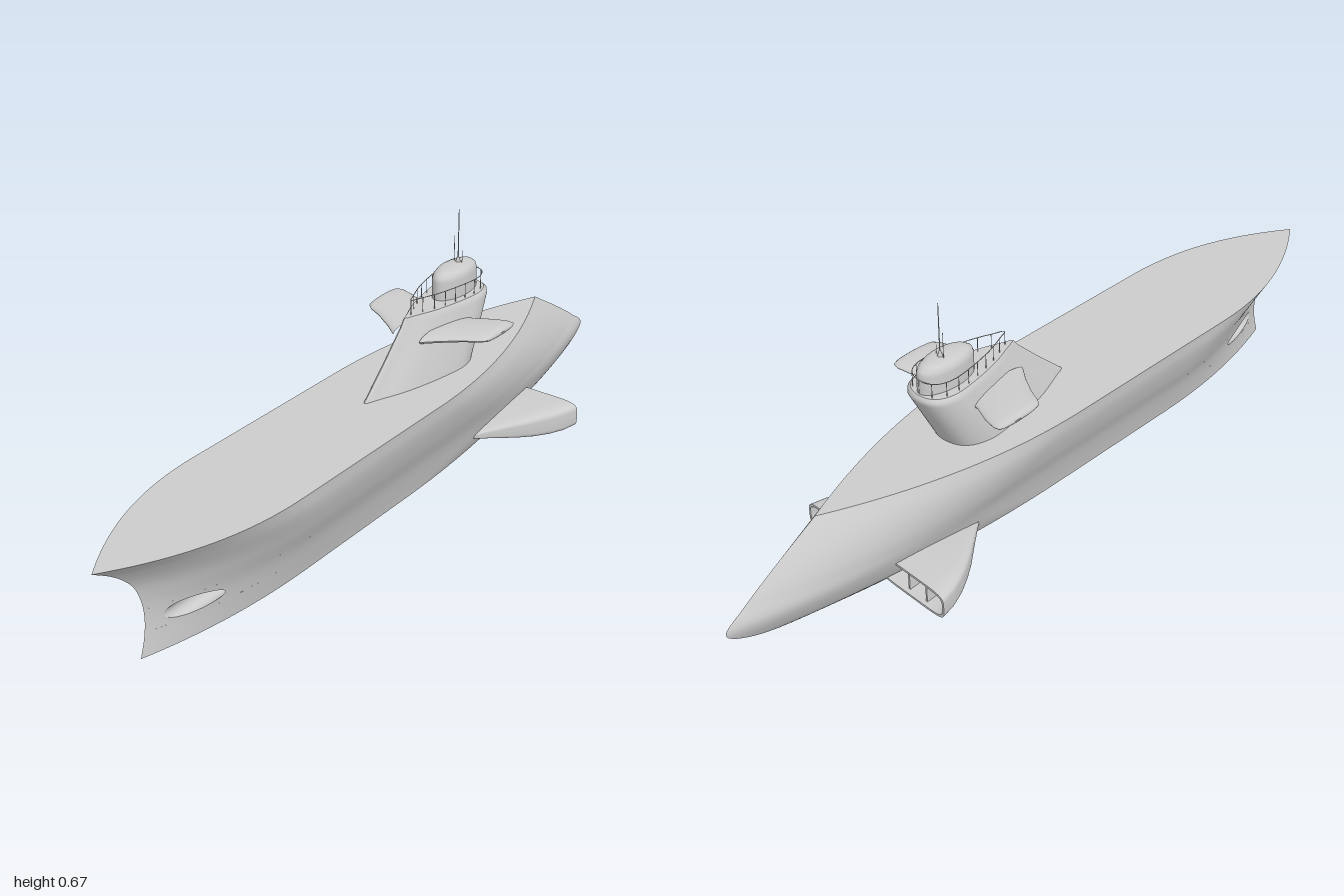
import * as THREE from 'three';
import { ParametricGeometry } from 'three/addons/geometries/ParametricGeometry.js';

const solid = new THREE.MeshStandardMaterial({ color: 0xcccccc });
const open = new THREE.MeshStandardMaterial({ color: 0xcccccc, side: THREE.DoubleSide });
const lerp = THREE.MathUtils.lerp;
const V = (x, y, z) => new THREE.Vector3(x, y, z);

function add(parent, name, geometry, material = solid) {
  const mesh = new THREE.Mesh(geometry, material);
  mesh.name = name;
  parent.add(mesh);
  return mesh;
}

// smooth function through a few (input, value) pairs
function profile(inputs, values) {
  const curve = new THREE.CubicInterpolant(inputs, values, 1, [0]);
  return (t) => curve.evaluate(t)[0];
}

// skin over rings of points, counter-clockwise about the direction of advance
function loft(rings, side = 1) {
  const n = rings[0].length, pos = [], index = [];
  rings.forEach((ring) => {
    const r = side > 0 ? ring : [...ring].reverse();
    r.forEach((p) => pos.push(p.x * side, p.y, p.z));
  });
  for (let i = 0; i < rings.length - 1; i++) {
    for (let j = 0; j < n - 1; j++) {
      const a = i * n + j, d = a + n;
      index.push(a, a + 1, d, a + 1, d + 1, d);
    }
  }
  const g = new THREE.BufferGeometry();
  g.setAttribute('position', new THREE.Float32BufferAttribute(pos, 3));
  g.setIndex(index);
  g.computeVertexNormals();
  return g;
}

// closing rings with a crisp edge
function cap(ring) {
  const c = ring.reduce((s, p) => s.add(p), V(0, 0, 0)).divideScalar(ring.length);
  return [ring, ring.map(() => c)];
}

// ---- hull lines: breadth, stem and stern position by height ----
const TOP = 0.285;
const beam = profile([0, 0.03, 0.1, 0.17, 0.24, TOP], [0.07, 0.078, 0.1, 0.131, 0.154, 0.16]);
const stem = profile([0, 0.05, 0.1, 0.15, 0.2, 0.25, TOP], [0.88, 0.865, 0.86, 0.868, 0.892, 0.945, 1]);
const stern = profile([0, 0.03, 0.06, 0.105, 0.15, 0.2, TOP], [-0.72, -0.86, -0.945, -1, -0.945, -0.87, -0.73]);

// u runs from bow to stern
function hullPoint(u, y) {
  const a = stem(y), b = stern(y), z = lerp(a, b, u);
  const bow = Math.min(1, (a - z) / 0.5), aft = Math.min(1, (z - b) / 0.7);
  const x = beam(y) * (1 - (1 - bow) ** 2.2) * (1 - (1 - aft) ** 2);
  return V(Math.max(0, x), y, z);
}

// station at which the hull reaches breadth x near the bow
function stationAt(x, y) {
  let lo = 0, hi = 0.3;
  for (let i = 0; i < 40; i++) {
    const mid = (lo + hi) / 2;
    if (hullPoint(mid, y).x < x) lo = mid; else hi = mid;
  }
  return lo;
}

function buildHull(group) {
  const hull = new THREE.Group();
  hull.name = 'hull';
  group.add(hull);
  const u0 = 0.008, u1 = 0.17, y0 = 0.06, y1 = 0.12;
  const tube = { x: 0.04, y: 0.09, r: 0.023, back: 0.64 };
  const rim = (a) => {
    const x = tube.x + tube.r * Math.cos(a), y = tube.y + tube.r * Math.sin(a);
    return { u: stationAt(x, y), y };
  };
  for (const s of [1, -1]) {
    const side = s > 0 ? 'left' : 'right';
    const surface = (name, fn, nu, nv, mat) => add(hull, side + name, new ParametricGeometry((u, v, t) => {
      t.copy(fn(s > 0 ? u : 1 - u, v));
      t.x *= s;
    }, nu, nv), mat);
    // plating round the tube opening
    for (const [a, b, c, d, nu, nv] of [
      [0, 1, 0, y0, 72, 8], [0, 1, y1, TOP, 72, 18],
      [0, u0, y0, y1, 2, 8], [u1, 1, y0, y1, 60, 8],
    ]) surface('Plating', (u, v) => hullPoint(lerp(a, b, u), lerp(c, d, v)), nu, nv);
    surface('BowPlating', (u, v) => {
      const a = u * Math.PI * 2, c = Math.cos(a), k = Math.sin(a);
      const m = Math.max(Math.abs(c), Math.abs(k)), inner = rim(a);
      const ou = lerp(u0, u1, 0.5 + c / m / 2), oy = lerp(y0, y1, 0.5 + k / m / 2);
      return hullPoint(lerp(ou, inner.u, v), lerp(oy, inner.y, v));
    }, 32, 6);
    // recessed bow tube
    surface('TubeWall', (u, v) => {
      const r = rim(u * Math.PI * 2), p = hullPoint(r.u, r.y);
      p.z = lerp(p.z, tube.back, v);
      return p;
    }, 32, 2, open);
    add(hull, side + 'TubeDoor', new THREE.CircleGeometry(tube.r, 24)).position.set(s * tube.x, tube.y, tube.back);
  }
  // flat deck and keel
  for (const [name, y, s] of [['deck', TOP, 1], ['keel', 0, -1]]) {
    const g = new ParametricGeometry((u, v, t) => {
      t.copy(hullPoint(u, y));
      t.x *= s * (1 - 2 * v);
    }, 72, 2);
    g.computeVertexNormals();
    add(hull, name, g);
  }
}

// ---- sail: teardrop plan, pointed forward ----
const sailBreadth = profile([0, 0.6, 1.2, 1.8, 2.2, 2.7, Math.PI], [0, 0.2, 0.62, 0.93, 1, 0.68, 0]);
function sailRing(y, half, front, back, n = 64) {
  return Array.from({ length: n + 1 }, (_, i) => {
    const a = (i / n) * Math.PI * 2, port = a <= Math.PI;
    const x = sailBreadth(port ? a : Math.PI * 2 - a) * half * (port ? 1 : -1);
    return V(x, y, lerp(front, back, (1 - Math.cos(a)) / 2));
  });
}

function buildSail(group) {
  const top = sailRing(0.453, 0.061, -0.105, -0.41);
  add(group, 'sail', loft([
    sailRing(0.28, 0.083, 0.07, -0.338), sailRing(0.36, 0.077, -0.015, -0.378),
    sailRing(0.435, 0.07, -0.09, -0.416), sailRing(0.447, 0.067, -0.097, -0.417), top,
  ]));
  add(group, 'sailTop', loft(cap(top)));

  // railing round the sail top
  const path = sailRing(0.492, 0.055, -0.13, -0.405, 48);
  const rail = new THREE.Group();
  rail.name = 'railing';
  group.add(rail);
  const handrail = new THREE.CatmullRomCurve3(path.slice(0, -1), true);
  add(rail, 'handrail', new THREE.TubeGeometry(handrail, 96, 0.0011, 5, true));
  const post = new THREE.CylinderGeometry(0.001, 0.001, 0.042, 5);
  for (let i = 0; i < 18; i++) {
    const p = handrail.getPointAt(i / 18);
    add(rail, 'railPost', post).position.set(p.x, 0.471, p.z);
  }

  // domed cabin
  const dome = [[0.04, 0.45], [0.04, 0.5], [0.038, 0.512], [0.032, 0.521], [0.022, 0.526], [0, 0.527]];
  const cabin = add(group, 'cabin', new THREE.LatheGeometry(dome.map((p) => new THREE.Vector2(...p)), 40));
  cabin.scale.z = 2.08;
  cabin.position.z = -0.322;

  // masts: x, top, radius
  for (const [x, h, r] of [[0, 0.67, 0.0015], [-0.012, 0.595, 0.001], [0.012, 0.56, 0.0007]]) {
    add(group, 'mast', new THREE.CylinderGeometry(r * 0.7, r, h - 0.52, 6)).position.set(x, (h + 0.52) / 2, -0.337);
  }
  add(group, 'mastBase', new THREE.CylinderGeometry(0.0015, 0.007, 0.018, 12)).position.set(0, 0.534, -0.337);
}

// ---- planes on the sail: x, y, leading z, trailing z, thickness ----
function buildSailPlane(group, s) {
  const rings = [
    [0.04, 0.395, -0.11, -0.3, 0.034], [0.08, 0.398, -0.14, -0.3, 0.032],
    [0.13, 0.402, -0.17, -0.322, 0.028], [0.165, 0.404, -0.185, -0.33, 0.025],
    [0.18, 0.405, -0.197, -0.327, 0.02], [0.185, 0.405, -0.22, -0.315, 0.012], [0.186, 0.405, -0.26, -0.28, 0.001],
  ].map(([x, y, lead, trail, thick]) => Array.from({ length: 33 }, (_, i) => {
    const a = (i / 32) * Math.PI * 2;
    return V(x, y - Math.sin(a) * thick / 2, lerp(trail, lead, 0.5 + Math.cos(a) / 2));
  }));
  add(group, s > 0 ? 'leftSailPlane' : 'rightSailPlane', loft(rings, s));
}

// ---- hollow stern planes, open at the back ----
function buildSternPlane(group, s) {
  const ring = (z, tip, half, inset = 0) => Array.from({ length: 49 }, (_, i) => {
    const a = (-i / 48) * Math.PI * 2, c = Math.cos(a), k = Math.sin(a);
    const x = Math.sign(c) * Math.abs(c) ** 0.4, y = Math.sign(k) * Math.abs(k) ** 0.4;
    return V(lerp(0.02, tip - inset, (x + 1) / 2), 0.052 + y * (half - inset), z);
  });
  const plane = new THREE.Group();
  plane.name = s > 0 ? 'leftSternPlane' : 'rightSternPlane';
  group.add(plane);
  const rear = ring(-0.572, 0.243, 0.038), lip = ring(-0.572, 0.243, 0.038, 0.006);
  const floor = ring(-0.48, 0.2, 0.034, 0.006);
  add(plane, 'shell', loft([
    ring(-0.29, 0.07, 0.003), ring(-0.33, 0.1, 0.012), ring(-0.37, 0.132, 0.02), ring(-0.41, 0.165, 0.027),
    ring(-0.45, 0.193, 0.033), ring(-0.49, 0.216, 0.037), ring(-0.53, 0.233, 0.039), rear,
  ], s));
  add(plane, 'rim', loft([rear, lip], s));
  add(plane, 'recess', loft([lip, floor], s), open);
  add(plane, 'recessFloor', loft(cap(floor), s));
  for (const x of [0.11, 0.17]) {
    add(plane, 'divider', new THREE.BoxGeometry(0.005, 0.066, 0.08)).position.set(s * x, 0.052, -0.52);
  }
}

export function createModel() {
  const group = new THREE.Group();
  group.name = 'submarine';
  buildHull(group);
  buildSail(group);
  for (const s of [1, -1]) {
    buildSailPlane(group, s);
    buildSternPlane(group, s);
  }
  return group;
}
